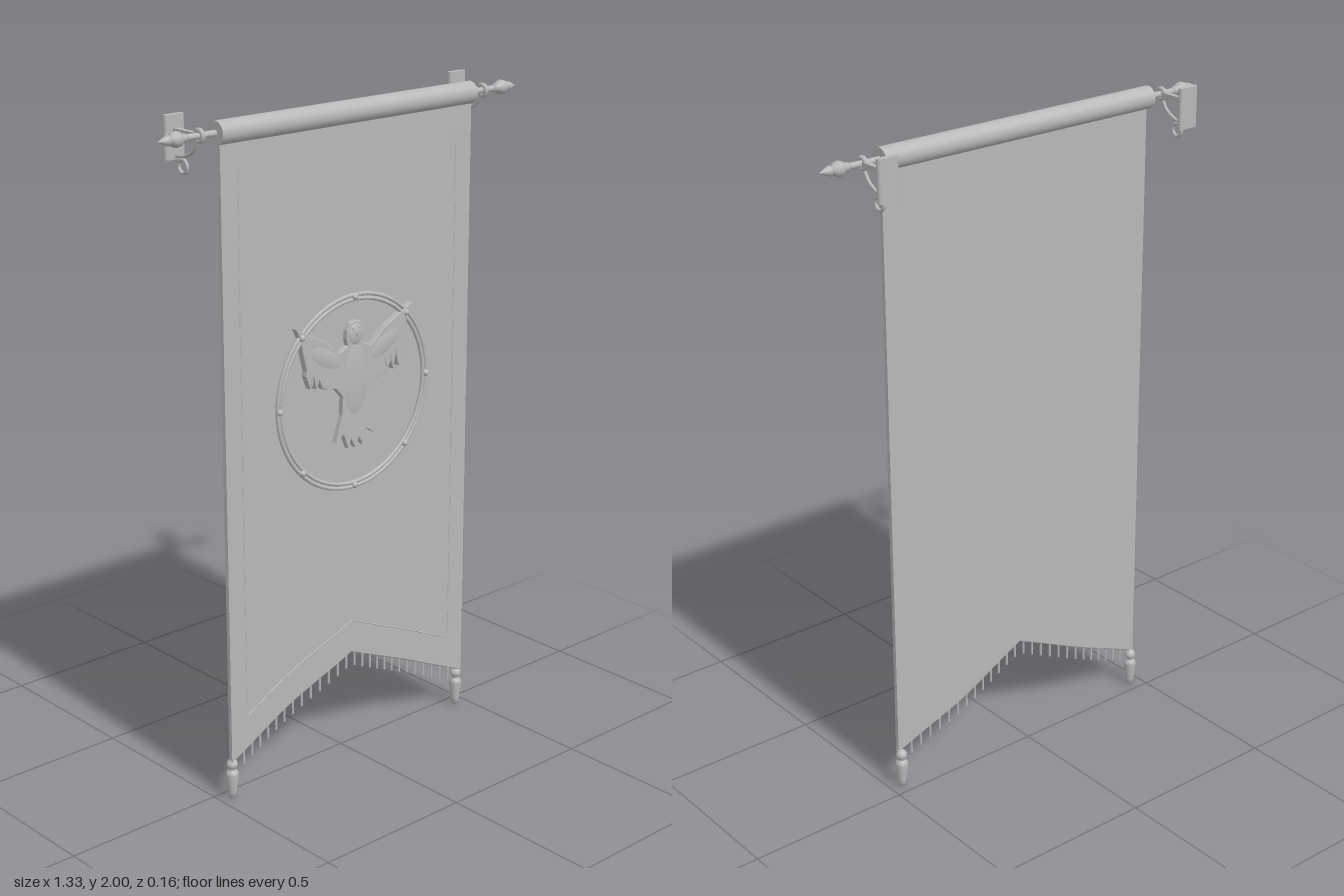
import * as THREE from 'three';

const grey = new THREE.MeshStandardMaterial({ color: 0xb8b8b8 });
grey.name = 'plain grey';

const ROD_Y = 1.957, ROD_Z = 0.034, HALF = 0.47, THICK = 0.013;
const V = (x, y, z) => new THREE.Vector3(x, y, z);

// Bottom edge of the cloth: a notch rising to the middle
const hemY = x => 0.33 - 0.445 * Math.abs(x);
// Gentle pleats that flatten toward the rod
const clothZ = (x, y) =>
  0.036 + 0.008 * (1 - 0.6 * Math.max(0, y) / 1.95) * Math.cos((2 * Math.PI * x) / HALF);

export function createModel() {
  const model = new THREE.Group();
  model.name = 'hangingBanner';

  const add = (name, geo, x = 0, y = 0, z = 0, parent = model) => {
    const m = new THREE.Mesh(geo, grey);
    m.name = name;
    m.position.set(x, y, z);
    parent.add(m);
    return m;
  };
  const tube = (name, pts, r, parent = model, n = 24) =>
    add(name, new THREE.TubeGeometry(new THREE.CatmullRomCurve3(pts), n, r, 8), 0, 0, 0, parent);
  const lathe = pts => new THREE.LatheGeometry(pts.map(p => new THREE.Vector2(...p)), 20);

  // Cloth: a thin box bent into pleats, cut to the notched hem
  const cloth = new THREE.BoxGeometry(HALF * 2, 1, THICK, 64, 24, 1);
  const p = cloth.attributes.position;
  for (let i = 0; i < p.count; i++) {
    const x = p.getX(i), t = p.getY(i) + 0.5;
    const y = THREE.MathUtils.lerp(hemY(x), 1.95, t);
    p.setXYZ(i, x, y, clothZ(x, y) + p.getZ(i));
  }
  cloth.computeVertexNormals();
  add('cloth', cloth);

  // Rod and the sleeve wrapped around it
  add('rod', new THREE.CylinderGeometry(0.009, 0.009, 1.2, 16), 0, ROD_Y, ROD_Z).rotation.z = Math.PI / 2;
  add('sleeve', new THREE.CylinderGeometry(0.033, 0.033, 0.95, 32), 0, ROD_Y, ROD_Z).rotation.z = Math.PI / 2;

  const finial = lathe([[0, -0.035], [0.01, -0.035], [0.013, -0.026], [0.011, -0.02], [0.019, -0.012],
    [0.022, 0], [0.019, 0.012], [0.01, 0.02], [0.01, 0.023], [0.015, 0.026], [0.012, 0.035], [0, 0.06]]);
  const tassel = lathe([[0, 0], [0.01, 0], [0.013, 0.02], [0.02, 0.075], [0.017, 0.085], [0.01, 0.09],
    [0.011, 0.094], [0.016, 0.102], [0.017, 0.11], [0.012, 0.12], [0, 0.126]]);

  // Wall plate with a round-cornered plan
  const plateShape = new THREE.Shape();
  plateShape.absarc(0.024, 0, 0.009, -Math.PI / 2, Math.PI / 2);
  plateShape.absarc(-0.024, 0, 0.009, Math.PI / 2, Math.PI * 1.5);
  const plate = new THREE.ExtrudeGeometry(plateShape, { depth: 0.12, bevelEnabled: false, curveSegments: 8 });
  plate.rotateX(-Math.PI / 2);

  for (const s of [1, -1]) {
    add('finial', finial, s * 0.605, ROD_Y, ROD_Z).rotation.z = -s * Math.PI / 2;
    add('tassel', tassel, s * 0.46, 0, 0.037);

    // Wall bracket
    const bracket = new THREE.Group();
    bracket.name = 'bracket';
    bracket.position.x = s * 0.528;
    model.add(bracket);
    add('wallPlate', plate, 0, 1.88, -0.075, bracket);
    add('arm', new THREE.BoxGeometry(0.016, 0.014, 0.1), 0, ROD_Y, -0.02, bracket);
    add('rodCollar', new THREE.TorusGeometry(0.015, 0.007, 10, 20), 0, ROD_Y, ROD_Z, bracket).rotation.y = Math.PI / 2;
    tube('brace', [V(0, 1.945, 0.03), V(0, 1.915, 0.01), V(0, 1.895, -0.025), V(0, 1.888, -0.07)], 0.005, bracket);
    add('hangingRing', new THREE.TorusGeometry(0.018, 0.005, 10, 24), 0, 1.865, -0.037, bracket).rotation.y = Math.PI / 2;

    // Stitched seams lying almost flush with the cloth
    const seam = (name, f) => tube(name, Array.from({ length: 13 }, (_, i) => {
      const [x, y] = f(i / 12);
      return V(x, y, clothZ(x, y) + THICK / 2 - 0.001);
    }), 0.0025, model, 48);
    seam('sideSeam', t => [s * 0.41, 0.25 + t * 1.6]);
    seam('hemSeam', t => [s * 0.4 * t, hemY(0.4 * t) + 0.1]);

    // Fringe threads
    for (let i = 0; i < 13; i++) {
      const x = s * (0.017 + i * 0.0335), y = hemY(x);
      add('fringeThread', new THREE.CylinderGeometry(0.0035, 0.0035, 0.05, 6), x, y - 0.022, clothZ(x, y));
    }
    // Braid along the hem
    tube('hemBraid', [0, 0.25, 0.5, 0.75, 1].map(t => {
      const x = s * HALF * t;
      return V(x, hemY(x), clothZ(x, hemY(x)));
    }), 0.005);
  }

  // Round emblem frame with eight studs
  const emblem = new THREE.Group();
  emblem.name = 'emblem';
  emblem.position.set(0, 1.15, 0);
  model.add(emblem);
  for (const r of [0.289, 0.276])
    add('emblemRing', new THREE.TorusGeometry(r, 0.006, 10, 72), 0, 0, 0.056, emblem);
  add('emblemRingBase', new THREE.TorusGeometry(0.282, 0.007, 8, 72), 0, 0, 0.051, emblem);
  for (let i = 0; i < 8; i++) {
    const a = (i * Math.PI) / 4;
    add('emblemStud', new THREE.SphereGeometry(0.01, 14, 10), 0.284 * Math.cos(a), 0.284 * Math.sin(a), 0.06, emblem);
  }

  // Spread-winged bird: half outline mirrored
  const half = [[0, 1.365], [0.02, 1.36], [0.032, 1.34], [0.034, 1.315], [0.03, 1.295], [0.06, 1.28],
    [0.115, 1.325], [0.17, 1.352], [0.222, 1.378], [0.205, 1.34], [0.198, 1.3], [0.185, 1.25], [0.188, 1.235],
    [0.172, 1.195], [0.16, 1.235], [0.15, 1.19], [0.138, 1.215], [0.125, 1.185], [0.075, 1.175],
    [0.048, 1.145], [0.05, 1.09], [0.075, 1.012], [0.045, 1.03], [0.028, 0.985], [0.016, 1.01], [0, 0.982]];
  const outline = [...half.map(([x, y]) => [-x, y]), ...half.slice(1, -1).reverse()];
  const birdShape = new THREE.Shape(outline.map(([x, y]) => new THREE.Vector2(x, y - 1.15)));
  add('bird', new THREE.ExtrudeGeometry(birdShape, {
    depth: 0.016, bevelEnabled: true, bevelSize: 0.003, bevelOffset: -0.003, bevelThickness: 0.003, bevelSegments: 2,
  }), 0, 0, 0.044, emblem);

  // Raised relief on the bird: body, head, wings, eyes and beak
  const ball = new THREE.SphereGeometry(1, 28, 18);
  const bump = (name, x, y, z, sx, sy, sz, rot = 0) => {
    const m = add(name, ball, x, y - 1.15, z, emblem);
    m.scale.set(sx, sy, sz);
    m.rotation.z = rot;
  };
  bump('birdBody', 0, 1.19, 0.057, 0.05, 0.12, 0.012);
  bump('birdHead', 0, 1.325, 0.057, 0.03, 0.036, 0.012);
  bump('birdBeak', 0, 1.328, 0.066, 0.005, 0.012, 0.006);
  for (const s of [1, -1]) {
    bump('birdWing', s * 0.115, 1.275, 0.058, 0.08, 0.032, 0.008, s * 0.5);
    bump('birdEye', s * 0.013, 1.345, 0.065, 0.004, 0.004, 0.004);
    // Wing feather quills
    for (let i = 0; i < 3; i++)
      tube('wingFeather', [V(s * (0.16 - i * 0.022), 0.1 - i * 0.01, 0.062), V(s * (0.168 - i * 0.022), 0.055, 0.064)], 0.003, emblem, 4);
  }
  return model;
}
